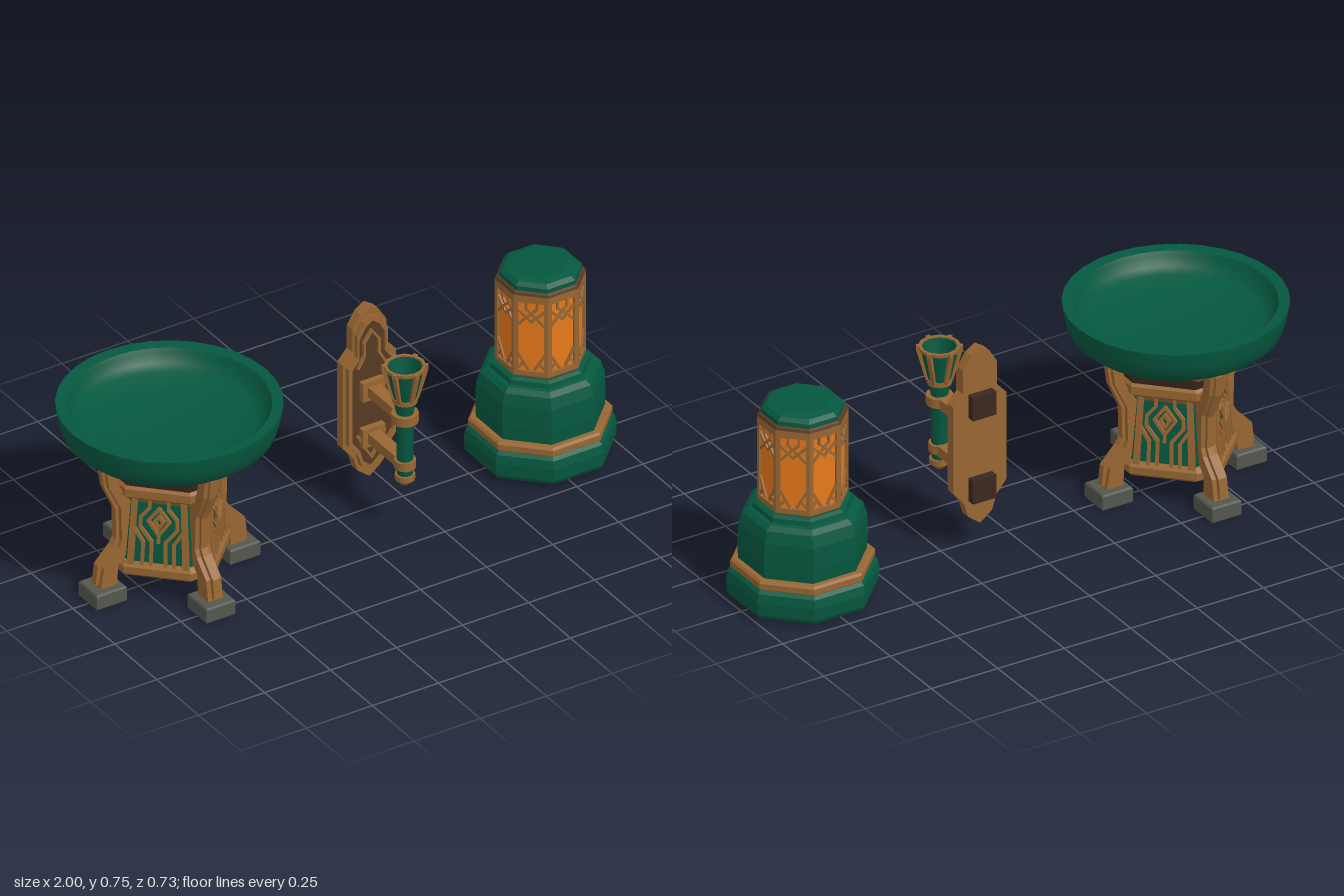
import * as THREE from 'three';
import { mergeGeometries, toCreasedNormals } from 'three/addons/utils/BufferGeometryUtils.js';

const mat = (name, color) => {
  const m = new THREE.MeshStandardMaterial({ color });
  m.name = name;
  return m;
};

export function createModel() {
  const green = mat('green enamel', 0x05573f);
  const bronze = mat('bronze', 0x986632);
  const brown = mat('dark bronze', 0x553a22);
  const dark = mat('dark brown', 0x3a281e);
  const orange = mat('amber glass', 0xe6791a);
  const grey = mat('grey stone', 0x53564d);

  const add = (parent, name, geo, material, x = 0, y = 0, z = 0) => {
    const m = new THREE.Mesh(geo, material);
    m.name = name;
    m.position.set(x, y, z);
    parent.add(m);
    return m;
  };
  const newGroup = (parent, name, x = 0, z = 0, turn = 0) => {
    const g = new THREE.Group();
    g.name = name;
    g.position.set(x, 0, z);
    g.rotation.y = turn;
    parent.add(g);
    return g;
  };

  // Flat-faced solid from one outline scaled at each level [scale, y]
  const loft = (outline, levels) => {
    const p = [], n = outline.length;
    const at = (i, [s, y]) => [outline[i % n][0] * s, y, outline[i % n][1] * s];
    const last = levels[levels.length - 1];
    for (let i = 0; i < n; i++) {
      for (let j = 0; j + 1 < levels.length; j++) {
        const a = at(i, levels[j]), b = at(i + 1, levels[j]);
        const c = at(i + 1, levels[j + 1]), d = at(i, levels[j + 1]);
        p.push(...a, ...d, ...b, ...b, ...d, ...c);
      }
      p.push(0, levels[0][1], 0, ...at(i, levels[0]), ...at(i + 1, levels[0]));
      p.push(0, last[1], 0, ...at(i + 1, last), ...at(i, last));
    }
    const g = new THREE.BufferGeometry();
    g.setAttribute('position', new THREE.Float32BufferAttribute(p, 3));
    g.computeVertexNormals();
    return g;
  };
  const lathe = (pts, sides, crease = 0.6) =>
    toCreasedNormals(new THREE.LatheGeometry(pts.map(q => new THREE.Vector2(...q)), sides), crease);

  // Raised ribs along polylines in the xy plane, mirrored in x
  const ribs = (lines, width, depth) => {
    const parts = [];
    for (const side of [1, -1]) for (const line of lines) {
      for (let i = 0; i + 1 < line.length; i++) {
        const [x0, y0] = line[i], [x1, y1] = line[i + 1];
        const dx = (x1 - x0) * side, dy = y1 - y0;
        const b = new THREE.BoxGeometry(Math.hypot(dx, dy) + width * 0.6, width, depth);
        b.rotateZ(Math.atan2(dy, dx));
        b.translate(side * (x0 + x1) / 2, (y0 + y1) / 2, 0);
        parts.push(b);
      }
    }
    return mergeGeometries(parts);
  };
  const shapeOf = pts => new THREE.Shape(pts.map(q => new THREE.Vector2(...q)));
  const slab = (shape, depth, z) => {
    const g = new THREE.ExtrudeGeometry(shape, { depth, bevelEnabled: false });
    return g.translate(0, 0, z);
  };

  const model = new THREE.Group();
  model.name = 'brazier torch and lantern set';

  // ---------- Brazier ----------
  const brazier = newGroup(model, 'brazier', -0.635, 0);
  add(brazier, 'bowl', lathe([[0, 0.5], [0.2, 0.5], [0.26, 0.512], [0.31, 0.535], [0.345, 0.565], [0.356, 0.605],
    [0.365, 0.648], [0.366, 0.66], [0.33, 0.656], [0.322, 0.642], [0.308, 0.612], [0.28, 0.596], [0.18, 0.583], [0, 0.578]], 32, 0.75), green);

  const a = 0.042, b = 0.185, taperLow = 0.13, taperHigh = 0.38;
  const core = [[b, -a], [b, a], [a, b], [-a, b], [-b, a], [-b, -a], [-a, -b], [a, -b]];
  const coreScale = y => THREE.MathUtils.mapLinear(y, taperLow, taperHigh, 1, 0.87);
  add(brazier, 'corePanels', loft(core, [taperLow, taperHigh].map(y => [coreScale(y), y])), green);
  add(brazier, 'basePlate', loft(core, [[1.04, 0.095], [1.1, 0.105], [1.1, 0.13], [1.03, 0.145]]), bronze);
  add(brazier, 'upperRing', loft(core, [[0.88, 0.36], [0.93, 0.375], [1.06, 0.392], [1.06, 0.42], [1.0, 0.432]]), bronze);
  add(brazier, 'neck', loft(core, [[1.0, 0.42], [1.08, 0.485]]), dark);
  add(brazier, 'topRing', loft(core, [[1.16, 0.476], [1.22, 0.505]]), bronze);

  const legShape = shapeOf([[0.215, 0.05], [0.278, 0.05], [0.264, 0.13], [0.208, 0.188], [0.197, 0.215],
    [0.2, 0.335], [0.246, 0.43], [0.256, 0.505], [0.222, 0.505], [0.205, 0.42], [0.168, 0.36], [0.15, 0.345], [0.15, 0.19], [0.212, 0.125]]);
  const ridgeShape = shapeOf([[0.25, 0.055], [0.287, 0.068], [0.279, 0.135], [0.222, 0.195], [0.209, 0.218],
    [0.212, 0.332], [0.255, 0.428], [0.265, 0.5], [0.24, 0.5], [0.235, 0.43], [0.19, 0.34], [0.19, 0.21], [0.25, 0.13]]);
  const legGeo = slab(legShape, 0.056, -0.028);
  const ridgeGeo = slab(ridgeShape, 0.024, -0.012);
  const footGeo = loft([[0.057, -0.055], [0.057, 0.055], [-0.057, 0.055], [-0.057, -0.055]],
    [[0.94, 0], [1, 0.005], [1, 0.051], [0.93, 0.057]]);

  // Lay flat ribs against the tapering panel face
  const onPanel = geo => {
    const p = geo.attributes.position;
    for (let i = 0; i < p.count; i++) {
      const s = coreScale(p.getY(i));
      p.setX(i, p.getX(i) * s);
      p.setZ(i, p.getZ(i) + s * (a + b) / Math.SQRT2 + 0.002);
    }
    geo.computeVertexNormals();
    return geo;
  };
  const coreLattice = onPanel(ribs([
    [[0, 0.345], [0.038, 0.3], [0, 0.25]],
    [[0, 0.318], [0.016, 0.298], [0, 0.275]],
    [[0.035, 0.375], [0.035, 0.345], [0.066, 0.31], [0.066, 0.275], [0.024, 0.225], [0.024, 0.14]],
    [[0, 0.25], [0, 0.225]],
    [[0.09, 0.275], [0.053, 0.22], [0.053, 0.14]],
  ], 0.011, 0.016));
  const coreFrame = onPanel(ribs([[[0.092, 0.375], [0.092, 0.14]]], 0.022, 0.018));
  for (let k = 0; k < 4; k++) {
    const leg = newGroup(brazier, 'leg', 0, 0, k * Math.PI / 2);
    add(leg, 'legBody', legGeo, bronze);
    add(leg, 'legRidge', ridgeGeo, bronze);
    add(leg, 'foot', footGeo, grey, 0.2525);
    const panel = newGroup(brazier, 'panelLattice', 0, 0, (k + 0.5) * Math.PI / 2);
    add(panel, 'lattice', coreLattice, bronze);
    add(panel, 'panelFrame', coreFrame, bronze);
  }

  // ---------- Wall torch ----------
  const sconce = newGroup(model, 'wallTorch', 0.14, 0);
  const half = [[0, 0.1], [0.045, 0.135], [0.06, 0.185], [0.1, 0.235], [0.1, 0.55], [0.064, 0.59], [0.064, 0.675], [0.035, 0.722]];
  const full = [...half, [0, 0.745], ...half.slice(1).reverse().map(([x, y]) => [-x, y])];
  const scaled = (s, t) => full.map(([x, y]) => [x * s, 0.4225 + (y - 0.4225) * t]);
  add(sconce, 'backPlate', slab(shapeOf(full), 0.035, -0.062), bronze);
  const frame = shapeOf(scaled(0.9, 0.92));
  frame.holes.push(new THREE.Path(scaled(0.77, 0.86).map(q => new THREE.Vector2(...q))));
  add(sconce, 'plateFrame', slab(frame, 0.02, -0.028), bronze);
  add(sconce, 'platePanel', slab(shapeOf(scaled(0.79, 0.88)), 0.007, -0.028), brown);
  add(sconce, 'plateOrnament', ribs([
    [[0, 0.66], [0.028, 0.62], [0.028, 0.57], [0.05, 0.53]],
    [[0, 0.18], [0.028, 0.225], [0.05, 0.27]],
  ], 0.008, 0.012), bronze, 0, 0, -0.016);
  for (const y of [0.235, 0.54]) {
    add(sconce, 'wallClamp', new THREE.BoxGeometry(0.088, 0.085, 0.03), dark, 0, y, -0.075);
  }
  for (const y of [0.265, 0.44]) {
    add(sconce, 'arm', new THREE.BoxGeometry(0.046, 0.036, 0.19), bronze, 0, y, 0.07);
    add(sconce, 'armMount', new THREE.BoxGeometry(0.085, 0.07, 0.022), bronze, 0, y, -0.01);
  }

  const torch = newGroup(sconce, 'torch', 0, 0.185);
  add(torch, 'shaft', lathe([[0, 0.188], [0.02, 0.195], [0.025, 0.21], [0.027, 0.3], [0.029, 0.46], [0.036, 0.49],
    [0.036, 0.505], [0.042, 0.53], [0.064, 0.63], [0.054, 0.63], [0.034, 0.54], [0, 0.535]], 12), green);
  for (const [r, y, h] of [[0.033, 0.215, 0.02], [0.036, 0.265, 0.03], [0.045, 0.44, 0.032], [0.042, 0.507, 0.016]]) {
    add(torch, 'band', toCreasedNormals(new THREE.CylinderGeometry(r, r, h, 12), 0.6), bronze, 0, y);
  }
  add(torch, 'tip', new THREE.CylinderGeometry(0.026, 0.012, 0.016, 8), bronze, 0, 0.193);
  add(torch, 'cupRim', lathe([[0.063, 0.622], [0.068, 0.622], [0.069, 0.634], [0.058, 0.634], [0.056, 0.622]], 12), bronze);
  const cupRib = slab(shapeOf([[0.036, 0.51], [0.044, 0.51], [0.075, 0.62], [0.075, 0.635], [0.06, 0.635]]), 0.014, -0.007);
  for (let k = 0; k < 6; k++) {
    add(newGroup(torch, 'cupRibTurn', 0, 0, (k + 0.5) * Math.PI / 3), 'cupRib', cupRib, bronze);
  }

  // ---------- Lantern ----------
  const lantern = newGroup(model, 'lantern', 0.77, 0);
  const oct = Array.from({ length: 8 }, (_, i) => {
    const t = (i - 0.5) * Math.PI / 4, r = 1 / Math.cos(Math.PI / 8);
    return [Math.cos(t) * r, Math.sin(t) * r];
  });
  add(lantern, 'base', loft(oct, [[0.218, 0.015], [0.227, 0.03], [0.23, 0.075], [0.224, 0.105], [0.212, 0.118]]), green);
  add(lantern, 'baseBand', loft(oct, [[0.212, 0.115], [0.217, 0.12], [0.217, 0.14], [0.21, 0.148]]), bronze);
  add(lantern, 'body', loft(oct, [[0.193, 0.145], [0.196, 0.2], [0.193, 0.275], [0.182, 0.315], [0.165, 0.329],
    [0.153, 0.332], [0.15, 0.348], [0.138, 0.355]]), green);
  add(lantern, 'cageFoot', loft(oct, [[0.128, 0.35], [0.137, 0.362], [0.137, 0.38]]), bronze);
  add(lantern, 'glass', loft(oct, [[0.127, 0.37], [0.127, 0.65]]), orange);
  add(lantern, 'cageTop', loft(oct, [[0.137, 0.638], [0.137, 0.664]]), bronze);
  add(lantern, 'capSeat', loft(oct, [[0.137, 0.664], [0.134, 0.672], [0.128, 0.676]]), brown);
  add(lantern, 'cap', loft(oct, [[0.126, 0.672], [0.125, 0.69], [0.112, 0.702], [0.085, 0.708]]), green);

  const paneLattice = ribs([
    [[0.018, 0.64], [0.018, 0.612], [0, 0.595], [0.016, 0.58], [0, 0.565]],
    [[0.048, 0.545], [0.016, 0.58]],
    [[0.048, 0.61], [0.016, 0.58]],
    [[0.048, 0.45], [0.012, 0.385]],
    [[0.024, 0.41], [0.046, 0.385]],
  ], 0.008, 0.01);
  const post = ribs([[[0.05, 0.37], [0.05, 0.645]]], 0.014, 0.014);
  for (let k = 0; k < 8; k++) {
    const pane = newGroup(lantern, 'pane', 0, 0, k * Math.PI / 4);
    add(pane, 'paneLattice', paneLattice, bronze, 0, 0, 0.129);
    add(pane, 'panePosts', post, bronze, 0, 0, 0.13);
  }
  return model;
}
